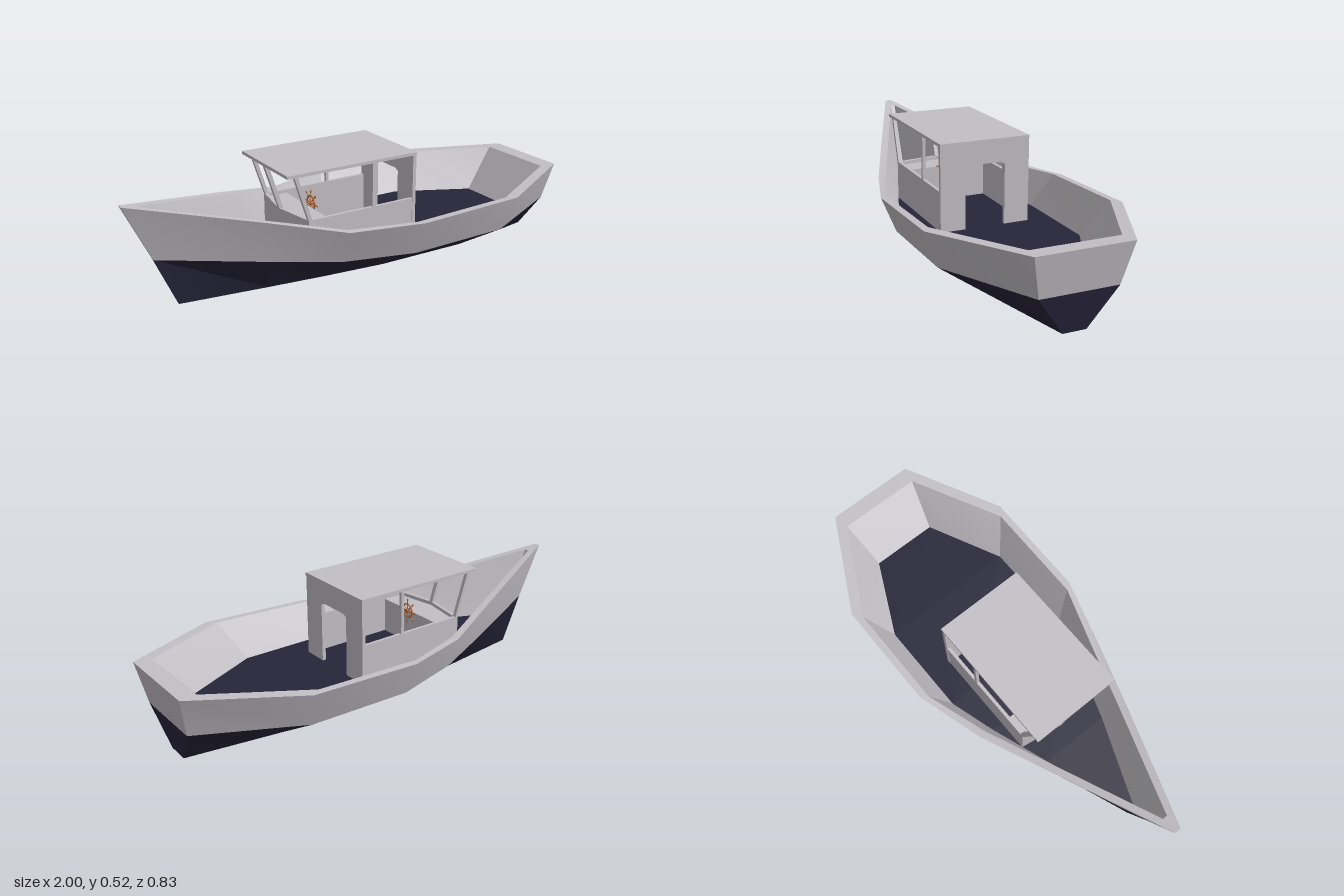
import * as THREE from 'three';
import { toCreasedNormals } from 'three/addons/utils/BufferGeometryUtils.js';

const mat = (name, color) => Object.assign(new THREE.MeshStandardMaterial({ color }), { name });

export function createModel() {
  const grey = mat('painted grey', 0xc2bfc5);
  const navy = mat('navy paint', 0x262439);
  const wood = mat('varnished wood', 0xbc672c);
  const boat = new THREE.Group();
  boat.name = 'boat';

  const add = (name, geo, material, parent = boat) => {
    const m = new THREE.Mesh(geo, material);
    m.name = name;
    parent.add(m);
    return m;
  };

  // Hull lines from bow to stern: [x, y, half width]
  const sheer = [[-1, 0.45, 0.014], [-0.5, 0.35, 0.21], [-0.2, 0.284, 0.325], [0.1, 0.293, 0.415], [0.58, 0.31, 0.415], [1, 0.33, 0.197]];
  const waterline = [[-0.89, 0.212, 0.01], [-0.47, 0.167, 0.172], [-0.2, 0.14, 0.27], [0.1, 0.141, 0.352], [0.55, 0.15, 0.352], [0.968, 0.16, 0.16]];
  const keel = [[-0.8, 0, 0.006], [-0.43, 0, 0.055], [-0.18, 0, 0.085], [0.1, 0, 0.112], [0.52, 0, 0.112], [0.94, 0, 0.048]];
  const innerRim = [[-0.93, 0.436, 0.01], [-0.49, 0.348, 0.18], [-0.19, 0.285, 0.295], [0.08, 0.293, 0.385], [0.54, 0.309, 0.385], [0.93, 0.327, 0.182]];
  const deck = [[-0.8, 0.145, 0.004], [-0.43, 0.145, 0.155], [-0.17, 0.145, 0.245], [0.03, 0.145, 0.305], [0.45, 0.145, 0.305], [0.78, 0.145, 0.148]];

  const port = (line) => line.map(([x, y, z]) => [x, y, z]);
  const mirrored = (line) => line.map(([x, y, z]) => [x, y, -z]);
  const ring = (line) => [...port(line), ...mirrored(line).reverse()];

  // Quad strip between two rows of points
  const strip = (a, b, closed, crease = 0.6) => {
    const n = a.length, idx = [];
    for (let i = 0; i < (closed ? n : n - 1); i++) {
      const j = (i + 1) % n;
      idx.push(i, n + i, n + j, i, n + j, j);
    }
    const g = new THREE.BufferGeometry();
    g.setAttribute('position', new THREE.Float32BufferAttribute([...a, ...b].flat(), 3));
    g.setIndex(idx);
    return toCreasedNormals(g, crease);
  };

  add('upperHull', strip(ring(sheer), ring(waterline), true), grey);
  add('lowerHull', strip(ring(waterline), ring(keel), true), navy);
  add('hullBottom', strip(port(keel), mirrored(keel)), navy);
  add('gunwale', strip(ring(innerRim), ring(sheer), true), grey);
  add('innerHull', strip(ring(deck), ring(innerRim), true, 0.2), grey);
  add('deck', strip(mirrored(deck), port(deck)), navy);

  // Wheelhouse
  const cabin = new THREE.Group();
  cabin.name = 'wheelhouse';
  boat.add(cabin);
  const floorY = 0.14, sillY = 0.315, roofY = 0.503;

  const box = (name, x0, x1, y0, y1, z0, z1) => {
    const g = new THREE.BoxGeometry(x1 - x0, y1 - y0, z1 - z0);
    g.translate((x0 + x1) / 2, (y0 + y1) / 2, (z0 + z1) / 2);
    return add(name, g, grey, cabin);
  };
  // Upright prism from a plan outline of [x, z] points
  const prism = (name, pts, y0, y1) => {
    const s = new THREE.Shape(pts.map(([x, z]) => new THREE.Vector2(x, -z)));
    const g = new THREE.ExtrudeGeometry(s, { depth: y1 - y0, bevelEnabled: false });
    g.rotateX(-Math.PI / 2).translate(0, y0, 0);
    return add(name, g, grey, cabin);
  };
  // Window post leaning along x
  const post = (name, xLow, xHigh, z, w = 0.014) => {
    const h = roofY - sillY;
    const g = new THREE.BoxGeometry(w, h, w);
    const p = g.attributes.position;
    for (let i = 0; i < p.count; i++) {
      const t = p.getY(i) / h + 0.5;
      p.setXYZ(i, p.getX(i) + xLow + (xHigh - xLow) * t, sillY + h * t, p.getZ(i) + z);
    }
    g.computeVertexNormals();
    add(name, g, grey, cabin);
  };

  box('roof', -0.405, 0.205, roofY, 0.516, -0.199, 0.199);
  for (const s of [1, -1]) {
    const side = s > 0 ? 'left' : 'right';
    const z0 = s > 0 ? 0.182 : -0.196;
    box(side + 'SideWall', -0.31, 0.19, floorY, sillY, z0, z0 + 0.014);
    post(side + 'SidePost', -0.005, -0.005, s * 0.189);
    post(side + 'FrontPost', -0.305, -0.365, s * 0.189, 0.016);
  }
  post('centreFrontPost', -0.336, -0.396, 0, 0.018);

  // V-shaped front wall and the dashboard behind it
  prism('frontWall', [[-0.312, 0.196], [-0.345, 0], [-0.312, -0.196], [-0.296, -0.196], [-0.329, 0], [-0.296, 0.196]], floorY, sillY);
  prism('dashboard', [[-0.3, 0.183], [-0.333, 0], [-0.3, -0.183], [-0.21, -0.183], [-0.21, 0.183]], floorY, 0.3);

  // Rear wall with a doorway whose top corners are cut
  const outline = [[-0.198, floorY], [-0.088, floorY], [-0.088, 0.405], [-0.07, 0.415], [0.07, 0.415], [0.088, 0.405],
    [0.088, floorY], [0.198, floorY], [0.198, roofY], [-0.198, roofY]];
  const rear = new THREE.ExtrudeGeometry(new THREE.Shape(outline.map(([z, y]) => new THREE.Vector2(z, y))), { depth: 0.016, bevelEnabled: false });
  rear.rotateY(Math.PI / 2).translate(0.187, 0, 0);
  add('rearWall', rear, grey, cabin);

  // Steering wheel with eight handled spokes
  const wheel = new THREE.Group();
  wheel.name = 'steeringWheel';
  wheel.position.set(-0.192, 0.307, 0);
  wheel.rotation.y = Math.PI / 2;
  boat.add(wheel);
  add('wheelRim', new THREE.TorusGeometry(0.031, 0.0035, 6, 24), wood, wheel);
  add('wheelHub', new THREE.CylinderGeometry(0.008, 0.008, 0.012, 10).rotateX(Math.PI / 2), wood, wheel);
  add('wheelShaft', new THREE.CylinderGeometry(0.003, 0.003, 0.02, 8).rotateX(Math.PI / 2).translate(0, 0, -0.01), wood, wheel);
  const spoke = [[0.0018, 0], [0.0018, 0.042], [0.004, 0.05], [0.0035, 0.055], [0, 0.058]].map(([r, y]) => new THREE.Vector2(r, y));
  for (let i = 0; i < 8; i++) {
    add('wheelSpoke', new THREE.LatheGeometry(spoke, 6), wood, wheel).rotation.z = i * Math.PI / 4;
  }
  return boat;
}
